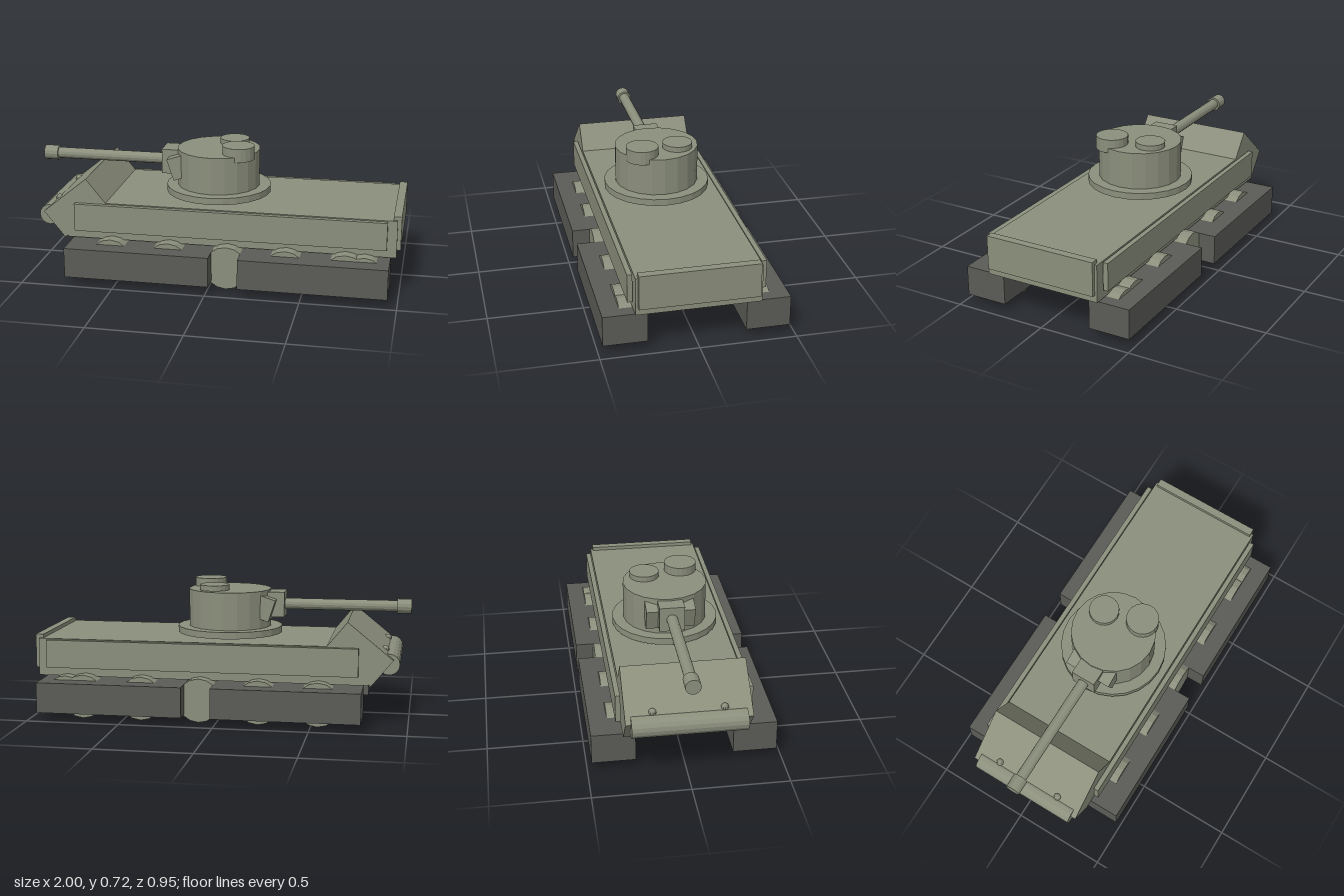
import * as THREE from 'three';

export function createModel() {
  const model = new THREE.Group();
  model.name = 'tank';
  const armour = new THREE.MeshStandardMaterial({ color: 0x8b8f7c, flatShading: true });
  armour.name = 'olive grey armour';
  const rubber = new THREE.MeshStandardMaterial({ color: 0x5b5b57, flatShading: true });
  rubber.name = 'dark grey track';

  const add = (name, geometry, material, x, y, z) => {
    const mesh = new THREE.Mesh(geometry, material);
    mesh.name = name;
    mesh.position.set(x, y, z);
    model.add(mesh);
    return mesh;
  };
  // Box given by its limits along each axis
  const box = (name, [x0, x1], [y0, y1], [z0, z1], material = armour) =>
    add(name, new THREE.BoxGeometry(x1 - x0, y1 - y0, z1 - z0), material,
      (x0 + x1) / 2, (y0 + y1) / 2, (z0 + z1) / 2);
  // Upright cylinder between two heights
  const drum = (name, r, y0, y1, x, z, sides = 20) =>
    add(name, new THREE.CylinderGeometry(r, r, y1 - y0, sides), armour, x, (y0 + y1) / 2, z);

  // Hull, sloped nose and rear plate
  box('hull', [-0.79, 0.98], [0.215, 0.416], [-0.318, 0.318]);
  const nose = add('nose', new THREE.BoxGeometry(0.309, 0.182, 0.636), armour, -0.742, 0.378, 0);
  nose.rotation.z = Math.atan2(0.195, 0.24);
  box('rearPlate', [0.957, 1], [0.253, 0.436], [-0.305, 0.305]);

  // Roller and headlights on the nose
  const roller = add('noseRoller', new THREE.CylinderGeometry(0.056, 0.056, 0.58, 16), armour, -0.896, 0.325, 0);
  roller.rotation.x = Math.PI / 2;
  for (const z of [-0.18, 0.18])
    add('headlight', new THREE.SphereGeometry(0.02, 10, 8), armour, -0.872, 0.388, z);

  // Running gear and skirts, mirrored across z
  for (const s of [-1, 1]) {
    const span = (a, b) => (s > 0 ? [a, b] : [-b, -a]);
    box('sideSkirt', [-0.74, 0.93], [0.262, 0.412], span(0.323, 0.349));
    for (const x of [[-0.765, 0.016], [0.17, 0.95]])
      box('track', x, [0.042, 0.204], span(0.251, 0.477), rubber);
    const wheel = (name, x, y, r) => {
      const w = add(name, new THREE.CylinderGeometry(r, r, 0.093, 16), armour, x, y, s * 0.336);
      w.rotation.x = Math.PI / 2;
    };
    for (let i = 0; i < 5; i++) wheel('roadWheel', -0.535 + i * 0.314, 0.117, 0.117);
    wheel('driveWheel', 0.82, 0.123, 0.104);
  }

  // Turret with its ring and hatches
  drum('turretRing', 0.285, 0.432, 0.468, -0.015, 0, 24);
  drum('turret', 0.225, 0.468, 0.67, -0.015, 0);
  drum('cupola', 0.087, 0.643, 0.716, 0.11, 0.103);
  drum('hatch', 0.08, 0.672, 0.701, 0.055, -0.101);

  // Gun mount and barrel
  const cheek = add('gunMount', new THREE.BoxGeometry(0.085, 0.122, 0.26), armour, -0.22, 0.576, 0);
  cheek.rotation.z = 0.32;
  box('mantlet', [-0.32, -0.2], [0.525, 0.66], [-0.067, 0.067]);
  for (const [name, r, x0, x1] of [['barrel', 0.03, -0.99, -0.25], ['muzzle', 0.04, -1, -0.923]]) {
    const tube = add(name, new THREE.CylinderGeometry(r, r, x1 - x0, 14), armour, (x0 + x1) / 2, 0.591, 0);
    tube.rotation.z = Math.PI / 2;
  }
  return model;
}
